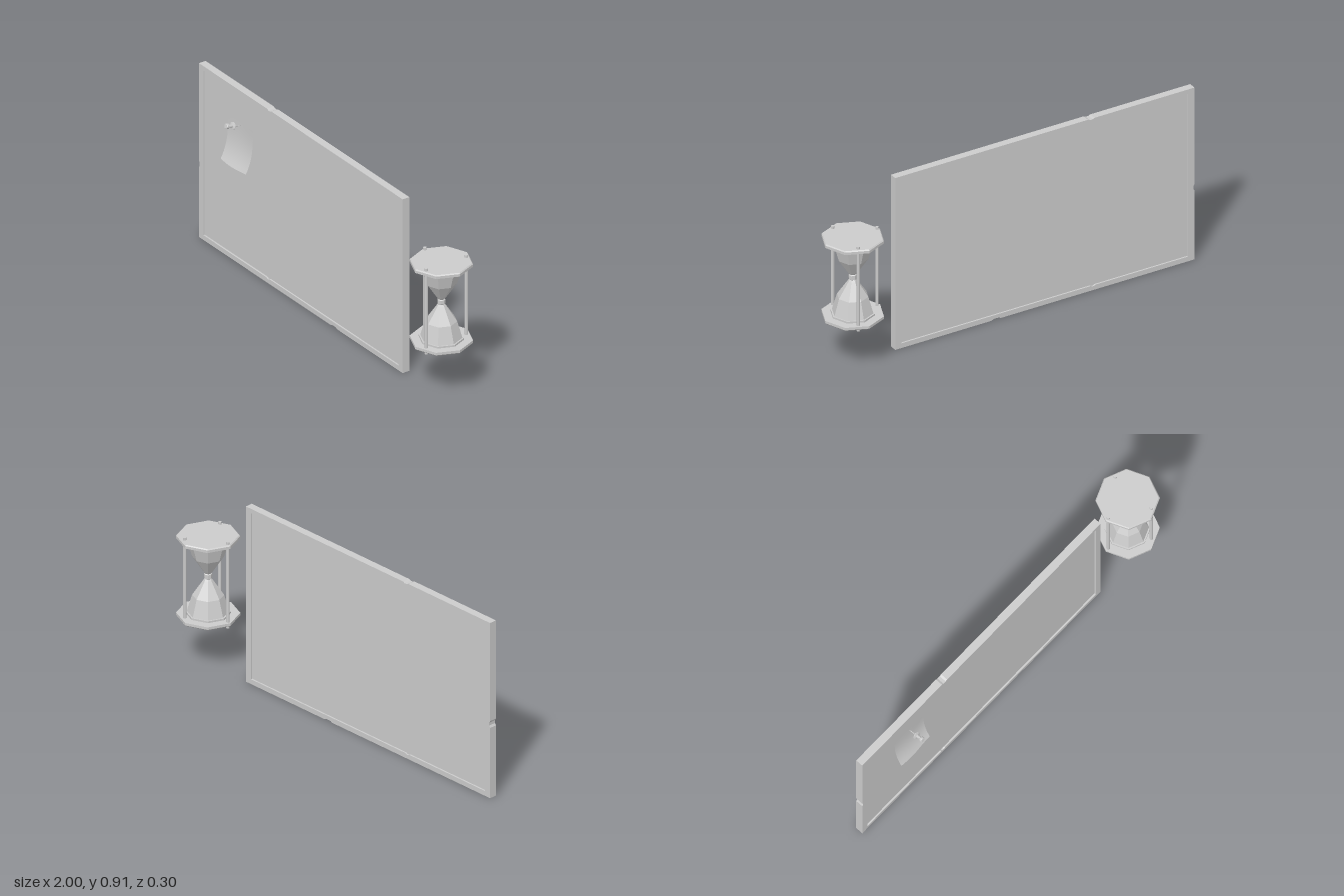
import * as THREE from 'three';

const mat = new THREE.MeshStandardMaterial({ color: 0xcccccc, flatShading: true });
const paperMat = new THREE.MeshStandardMaterial({ color: 0xcccccc, side: THREE.DoubleSide });

function add(parent, name, geometry, material = mat) {
  const mesh = new THREE.Mesh(geometry, material);
  mesh.name = name;
  parent.add(mesh);
  return mesh;
}

function lathe(points, sides) {
  return new THREE.LatheGeometry(points.map(([r, y]) => new THREE.Vector2(r, y)), sides);
}

const path = (points) => points.map(([x, y]) => new THREE.Vector2(x, y));

// Framed board, with small chips in the edges of the frame
function createBoard() {
  const board = new THREE.Group();
  board.name = 'board';
  const frame = new THREE.Shape(path([
    [-1, 0], [0.045, 0], [0.055, 0.006], [0.085, 0.006], [0.095, 0], [0.615, 0],
    [0.615, 0.91], [-0.425, 0.91], [-0.435, 0.905], [-0.45, 0.905], [-0.46, 0.91],
    [-1, 0.91], [-1, 0.4], [-0.994, 0.39], [-0.994, 0.375], [-1, 0.365],
  ]));
  frame.holes.push(new THREE.Path(path([
    [-0.965, 0.025], [-0.965, 0.887], [0.582, 0.887], [0.582, 0.025],
    [-0.44, 0.025], [-0.447, 0.02], [-0.457, 0.02], [-0.465, 0.025],
  ])));
  const frameGeo = new THREE.ExtrudeGeometry(frame, { depth: 0.038, bevelEnabled: false });
  add(board, 'frame', frameGeo.translate(0, 0, 0.012));
  add(board, 'panel', new THREE.BoxGeometry(1.56, 0.876, 0.022)).position.set(-0.1915, 0.456, 0.031);
  return board;
}

// Sheet of paper whose lower edge curls away from the board
function createNote() {
  const geo = new THREE.PlaneGeometry(0.195, 0.222, 8, 12);
  const p = geo.attributes.position;
  for (let i = 0; i < p.count; i++) {
    const u = p.getX(i) / 0.195 + 0.5;
    const t = 0.5 - p.getY(i) / 0.222;
    const lift = 0.042 * t ** 3 + 0.003 * t * Math.sin(u * 5);
    const sag = 0.006 * t * Math.sin(u * Math.PI);
    p.setXYZ(i, -0.775 + u * 0.195, 0.74 - t * 0.218 - sag, 0.045 + lift);
  }
  geo.computeVertexNormals();
  return geo;
}

// Push pin leaning slightly upwards, tip at its origin
function createPin() {
  const pin = new THREE.Group();
  pin.name = 'pushPin';
  add(pin, 'needle', lathe([[0, 0], [0.0025, 0.012], [0.0025, 0.05]], 6));
  add(pin, 'grip', lathe([
    [0, 0.046], [0.009, 0.046], [0.02, 0.05], [0.02, 0.053], [0.008, 0.056],
    [0.007, 0.076], [0.013, 0.08], [0.013, 0.09], [0.011, 0.092], [0, 0.092],
  ], 10));
  pin.position.set(-0.675, 0.724, 0.041);
  pin.rotation.x = 1.31;
  return pin;
}

// Octagonal hourglass, its halves mirrored about the neck
function createHourglass() {
  const glass = new THREE.Group();
  glass.name = 'hourglass';
  for (const s of [1, -1]) {
    const half = new THREE.Group();
    half.name = s > 0 ? 'upperHalf' : 'lowerHalf';
    add(half, 'plate', lathe([
      [0, 0.193], [0.148, 0.193], [0.148, 0.206], [0.143, 0.211], [0, 0.211],
    ], 8));
    add(half, 'collar', new THREE.CylinderGeometry(0.106, 0.106, 0.01, 8)).position.y = 0.189;
    add(half, 'bulb', lathe([
      [0.013, 0.01], [0.022, 0.022], [0.074, 0.1], [0.099, 0.186],
    ], 8));
    if (s < 0) half.rotation.x = Math.PI;
    glass.add(half);
  }
  add(glass, 'neckRing', lathe([
    [0, -0.014], [0.015, -0.014], [0.019, -0.01], [0.019, 0.01], [0.015, 0.014], [0, 0.014],
  ], 8));
  for (const [x, z] of [[-0.131, 0], [0.039, 0.113], [0.039, -0.113]]) {
    add(glass, 'rod', new THREE.CylinderGeometry(0.008, 0.008, 0.447, 8)).position.set(x, 0, z);
  }
  glass.position.set(0.852, 0.467, 0);
  return glass;
}

export function createModel() {
  const model = new THREE.Group();
  model.name = 'boardAndHourglass';
  model.add(createBoard(), createPin(), createHourglass());
  add(model, 'note', createNote(), paperMat);
  return model;
}
